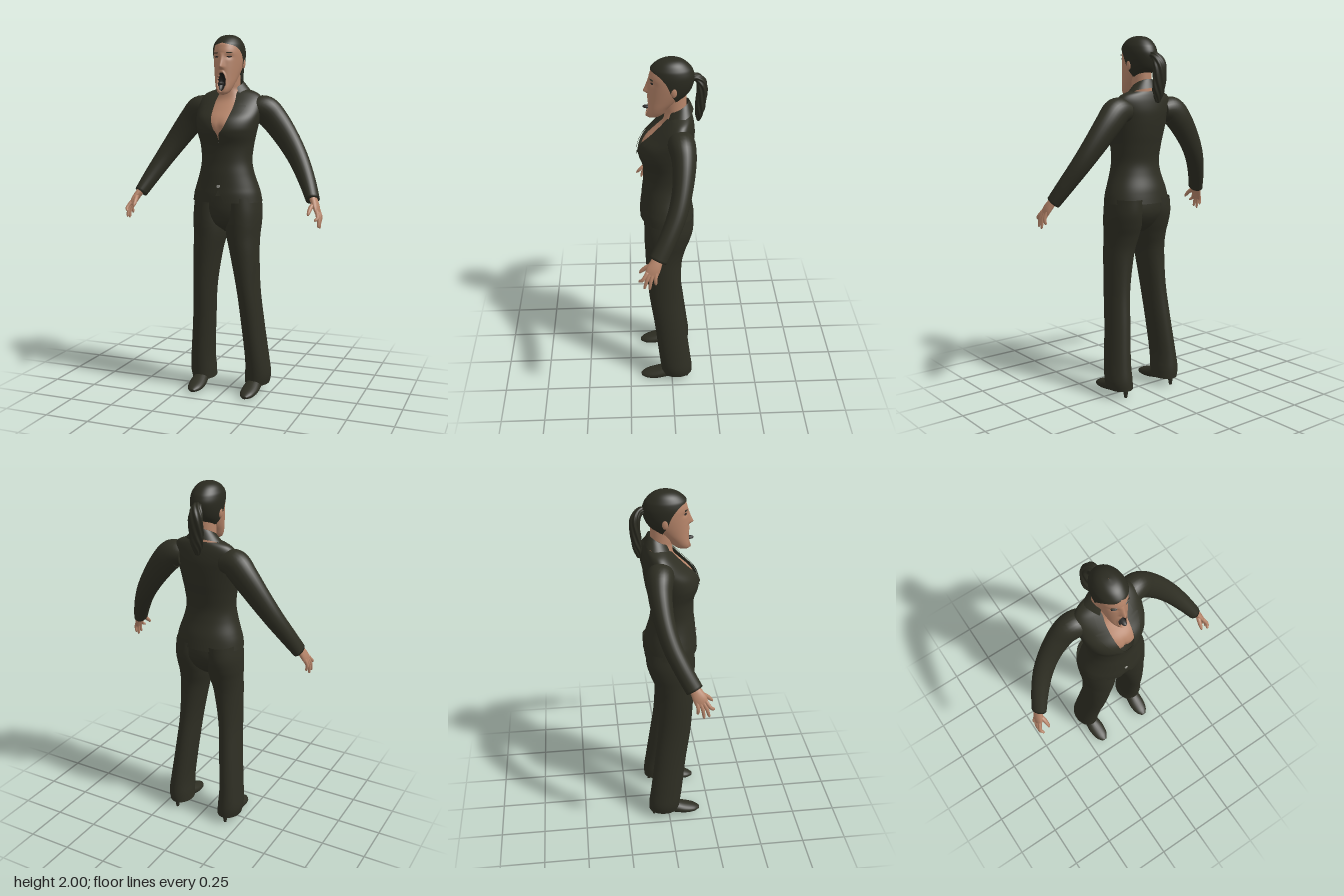
import * as THREE from 'three';
import { mergeVertices } from 'three/addons/utils/BufferGeometryUtils.js';

const TAU = Math.PI * 2;
const material = (name, color, side = THREE.FrontSide) => new THREE.MeshStandardMaterial({ name, color, side });
const bell = (v, width) => Math.exp(-((v / width) ** 2));

// Catmull-Rom subdivision of rows of numbers
function smooth(rows, sub = 6) {
  const out = [];
  const n = rows.length - 1;
  for (let i = 0; i < n; i++) {
    const [p, q, r, s] = [rows[Math.max(i - 1, 0)], rows[i], rows[i + 1], rows[Math.min(i + 2, n)]];
    for (let k = 0; k < sub; k++) {
      const t = k / sub;
      out.push(q.map((b, c) => 0.5 * (2 * b + (r[c] - p[c]) * t
        + (2 * p[c] - 5 * b + 4 * r[c] - s[c]) * t * t + (3 * b - p[c] - 3 * r[c] + s[c]) * t ** 3)));
    }
  }
  out.push(rows[n]);
  return out;
}

// Skin a grid of points, given as rings of equal length
function skinGrid(rings) {
  const w = rings[0].length, index = [];
  for (let i = 0; i < rings.length - 1; i++) {
    for (let j = 0; j < w - 1; j++) {
      const a = i * w + j, c = a + w;
      index.push(a, a + 1, c, a + 1, c + 1, c);
    }
  }
  let geo = new THREE.BufferGeometry().setFromPoints(rings.flat());
  geo.setIndex(index);
  geo = mergeVertices(geo);
  geo.computeVertexNormals();
  return geo;
}

// Upright loft; row = [y, half width, front z, back z, start angle, centre x, end angle]
function loft(rows, { seg = 48, tilt = 0, warp } = {}) {
  return skinGrid(rows.map(([y, rx, zf, zb, start = 0, cx = 0, end]) => {
    const a0 = Math.max(start, 0), a1 = end ?? TAU - a0;
    return Array.from({ length: seg + 1 }, (_, j) => {
      const a = a0 + (a1 - a0) * j / seg;
      const p = new THREE.Vector3(cx + rx * Math.sin(a), y + tilt * Math.cos(a),
        (zf + zb) / 2 + (zf - zb) / 2 * Math.cos(a));
      if (warp) warp(p);
      return p;
    });
  }));
}

// Closed limb along a path; row = [x, y, z, radius across, radius along ref]
function limb(points, { ref = [0, 0, 1], seg = 20, sub = 6, ripple = 0 } = {}) {
  const rows = smooth(points, sub);
  const at = i => new THREE.Vector3(...rows[Math.min(Math.max(i, 0), rows.length - 1)].slice(0, 3));
  const rings = rows.map(([x, y, z, rn, rb], i) => {
    const T = at(i + 1).sub(at(i - 1)).normalize();
    const B = new THREE.Vector3(...ref);
    B.addScaledVector(T, -B.dot(T)).normalize();
    const N = B.clone().cross(T);
    return Array.from({ length: seg + 1 }, (_, j) => {
      const a = TAU * j / seg;
      const k = 1 + ripple * Math.sin(7 * a + i * 0.9);
      return new THREE.Vector3(x, y, z).addScaledVector(N, rn * k * Math.cos(a)).addScaledVector(B, rb * k * Math.sin(a));
    });
  });
  const cap = i => Array.from({ length: seg + 1 }, () => at(i));
  return skinGrid([cap(0), ...rings, cap(rows.length - 1)]);
}

function mirrored(geo) {
  const g = geo.clone().scale(-1, 1, 1), ix = g.index.array;
  for (let i = 0; i < ix.length; i += 3) [ix[i], ix[i + 1]] = [ix[i + 1], ix[i]];
  return g;
}

const ball = (x, y, z, rx, ry, rz, turn = 0) =>
  new THREE.SphereGeometry(1, 20, 14).scale(rx, ry, rz).rotateY(turn).translate(x, y, z);

export function createModel() {
  const model = new THREE.Group();
  model.name = 'woman';
  const suit = material('suit cloth', 0x2e2e23, THREE.DoubleSide);
  const hair = material('hair', 0x2a2a20, THREE.DoubleSide);
  const skin = material('skin', 0xb58469);
  const dark = material('mouth and lashes', 0x1b1a19);
  const grey = material('tongue', 0x2f2e2d);
  const metal = material('button', 0x9c9c94);
  const add = (name, geo, mat) => {
    const mesh = new THREE.Mesh(geo, mat);
    mesh.name = name;
    model.add(mesh);
  };
  const pair = (name, geo, mat) => {
    add(name + 'Left', geo, mat);
    add(name + 'Right', mirrored(geo), mat);
  };

  // Jacket body: the fifth number is the half width of the front opening
  const torso = smooth([
    [1.095, .198, .172, -.127, .035], [1.14, .19, .17, -.12, .012], [1.18, .178, .165, -.112, 0],
    [1.25, .155, .158, -.092, 0], [1.32, .143, .15, -.083, 0], [1.40, .15, .152, -.095, 0],
    [1.46, .163, .172, -.108, .004], [1.50, .172, .175, -.115, .03], [1.55, .18, .155, -.122, .048],
    [1.60, .185, .105, -.125, .056], [1.65, .18, .055, -.12, .056], [1.685, .15, .02, -.112, .05],
    [1.705, .10, .0, -.105, .05],
  ].map(([y, rx, zf, zb, gap]) => [y, rx, zf, zb, Math.asin(gap / rx)]));
  add('jacketBody', loft(torso, { seg: 72 }), suit);

  // Lapels lie just over the jacket, with a notch at the collar
  const lapel = torso.filter(r => r[0] > 1.455 && r[0] < 1.69).map(([y, rx, zf, zb, a]) => {
    const width = y < 1.62 ? Math.max(.003, (y - 1.45) / .17 * .075) : .045;
    const start = Math.max(a, 0);
    return [y, rx + .006, zf + .007, zb, start, 0, start + width / rx];
  });
  pair('lapel', loft(lapel, { seg: 10 }), suit);
  add('collar', loft(smooth([
    [1.692, .108, .04, -.116, .7], [1.733, .071, .02, -.098, .75],
    [1.738, .063, .015, -.092, .8], [1.70, .066, .02, -.096, .7],
  ]), { tilt: -.03 }), suit);
  add('jacketButton', new THREE.CylinderGeometry(.009, .009, .006, 16).rotateX(Math.PI / 2).translate(0, 1.185, .167), metal);

  // Sleeves
  pair('sleeve', limb([
    [.13, 1.60, -.04, .06, .07], [.19, 1.595, -.05, .078, .07], [.25, 1.535, -.057, .075, .062],
    [.33, 1.43, -.045, .065, .053], [.40, 1.325, -.015, .055, .05], [.46, 1.22, .035, .046, .047],
    [.508, 1.125, .088, .036, .046],
  ], { seg: 28 }), suit);

  // Hands
  pair('palm', limb([
    [.50, 1.15, .08, .02, .026], [.52, 1.115, .098, .019, .032], [.535, 1.085, .113, .016, .036],
    [.547, 1.052, .126, .01, .032],
  ]), skin);
  const tips = [[.548, 1.025, .182], [.558, .992, .157], [.558, .985, .131], [.553, 1.008, .10]];
  tips.forEach(([x, y, z], i) => {
    const bz = .148 - i * .015;
    pair('finger' + (i + 1), limb([
      [.54, 1.078, bz - .008, .01, .01], [.556, 1.045 - (1.03 - y) * .2, (bz + z) / 2, .0095, .0095],
      [x, y + .005, z, .007, .007], [x - .002, y, z + .001, .003, .003],
    ], { seg: 12, sub: 4 }), skin);
  });
  pair('thumb', limb([
    [.522, 1.11, .112, .013, .013], [.512, 1.09, .145, .012, .012],
    [.508, 1.065, .172, .009, .009], [.508, 1.053, .181, .004, .004],
  ], { seg: 12, sub: 4, ref: [1, 0, 0] }), skin);

  // Trousers
  pair('trouserLeg', loft(smooth([
    [.045, .068, .06, -.118, 0, .163], [.10, .072, .066, -.118, 0, .168], [.20, .066, .078, -.105, 0, .165],
    [.40, .063, .10, -.08, 0, .147], [.60, .064, .128, -.057, 0, .13], [.80, .08, .143, -.055, 0, .11],
    [.90, .092, .147, -.075, 0, .098], [.97, .098, .15, -.10, 0, .096], [1.04, .098, .15, -.118, 0, .096],
    [1.12, .095, .148, -.12, 0, .09],
  ])), suit);
  add('trouserSeat', loft(smooth([
    [.925, .04, .06, -.03], [.97, .14, .125, -.08], [1.04, .185, .149, -.118], [1.13, .185, .15, -.118],
  ])), suit);

  // Heeled shoes
  pair('shoe', limb([
    [.165, .075, -.11, .018, .022], [.165, .068, -.06, .032, .036], [.163, .05, .02, .037, .042],
    [.16, .032, .09, .031, .048], [.158, .022, .15, .021, .038], [.157, .017, .184, .008, .014],
  ], { ref: [1, 0, 0], seg: 24 }), suit);
  pair('shoeHeel', new THREE.CylinderGeometry(.02, .008, .07, 14).translate(.165, .035, -.09), suit);

  // Chest and neck
  add('chestAndNeck', loft(smooth([
    [1.43, .10, .13, -.05], [1.50, .125, .158, -.06], [1.55, .125, .14, -.07], [1.60, .115, .09, -.08],
    [1.65, .085, .045, -.085], [1.70, .058, .033, -.085], [1.74, .053, .035, -.082], [1.81, .052, .04, -.08],
  ]), { warp: p => { if (p.z > .05) p.z -= .012 * bell(p.x, .012) * bell(p.y - 1.49, .04); } }), skin);

  // Head, with nose, eye sockets and open mouth
  const headRows = [
    [1.675, .004, .105, .095], [1.685, .026, .124, .06], [1.705, .041, .127, .03], [1.74, .054, .12, 0],
    [1.78, .064, .118, -.05], [1.82, .072, .116, -.088], [1.86, .077, .113, -.106], [1.90, .078, .113, -.112],
    [1.93, .074, .105, -.104], [1.95, .067, .095, -.092], [1.975, .05, .066, -.066], [1.99, .026, .033, -.036],
    [1.996, .001, .001, -.001],
  ];
  const mouthAt = (x, y) => (x / .023) ** 2 + ((y - 1.745) / .05) ** 2;
  const head = loft(smooth(headRows, 10), {
    seg: 128,
    warp: p => {
      if (p.z < .04) return;
      const { x, y } = p;
      const slope = y > 1.825 ? (1.90 - y) / .075 : 1 - (1.825 - y) / .016;
      const e = mouthAt(x, y);
      p.z += .028 * Math.max(0, slope) * bell(x, .013);
      p.z -= .008 * bell(Math.abs(x) - .036, .017) * bell(y - 1.878, .013);
      p.z += e < 1 ? -.04 * Math.sqrt(1 - e) : .005 * bell(e - 1.2, .35);
    },
  });
  // Split the faces between skin and mouth
  const pos = head.attributes.position, faces = [[], []];
  for (let i = 0; i < head.index.count; i += 3) {
    const tri = [0, 1, 2].map(k => head.index.getX(i + k));
    const mid = axis => tri.reduce((sum, v) => sum + pos.getComponent(v, axis), 0) / 3;
    faces[mid(2) > .03 && mouthAt(mid(0), mid(1)) < .95 ? 1 : 0].push(...tri);
  }
  head.setIndex(faces.flat());
  head.addGroup(0, faces[0].length, 0);
  head.addGroup(faces[0].length, faces[1].length, 1);
  add('head', head, [skin, dark]);
  add('tongue', ball(0, 1.737, .122, .014, .009, .024), grey);
  pair('ear', ball(.079, 1.845, -.012, .009, .027, .016), skin);
  pair('eyelashes', ball(.036, 1.878, .097, .015, .0035, .005, .4), dark);
  pair('eyebrow', ball(.037, 1.899, .1, .018, .003, .005, .4), hair);

  // Hair cap, open over the face, and ponytail
  const hairline = [2.2, 1.71, 1.48, 1.25, .85, 0, 0, 0, 0];
  add('hairCap', loft(smooth(headRows.slice(4).map(([y, rx, zf, zb], i) => {
    const k = i < 8 ? 1 : 0;
    return [y + .004, rx + .008 * k, zf + .007 * k, zb - .009 * k, hairline[i]];
  }), 8), { seg: 64 }), hair);
  add('ponytail', limb([
    [0, 1.895, -.10, .018, .02], [-.006, 1.89, -.135, .02, .026], [-.015, 1.845, -.16, .026, .038],
    [-.016, 1.75, -.155, .026, .038], [-.016, 1.69, -.148, .021, .03], [-.016, 1.645, -.144, .008, .012],
  ], { ref: [1, 0, 0], seg: 42, ripple: .1 }), hair);

  return model;
}
